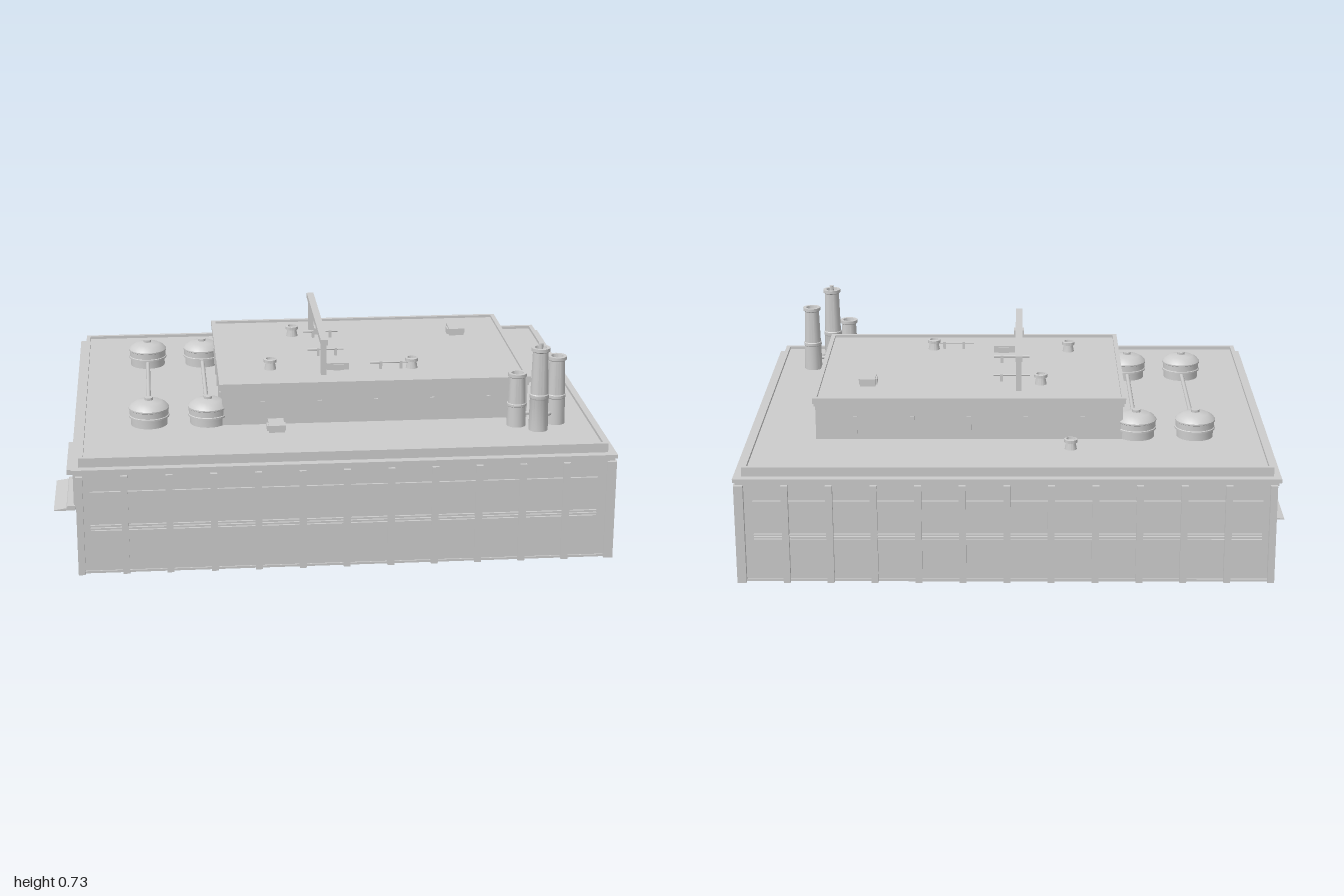
import * as THREE from 'three';
import { toCreasedNormals } from 'three/addons/utils/BufferGeometryUtils.js';

export function createModel() {
  const root = new THREE.Group();
  root.name = 'factory';
  const concrete = new THREE.MeshStandardMaterial({ color: 0xcccccc });
  concrete.name = 'concrete';

  const group = (name, parent = root) => {
    const g = new THREE.Group();
    g.name = name;
    parent.add(g);
    return g;
  };
  const add = (name, geo, parent = root) => {
    const m = new THREE.Mesh(geo, concrete);
    m.name = name;
    parent.add(m);
    return m;
  };
  // Box from minimum and maximum corners
  const box = (name, x0, x1, y0, y1, z0, z1, parent) => {
    const m = add(name, new THREE.BoxGeometry(x1 - x0, y1 - y0, z1 - z0), parent);
    m.position.set((x0 + x1) / 2, (y0 + y1) / 2, (z0 + z1) / 2);
    return m;
  };
  // Turned part from a radius/height profile
  const lathe = (name, x, y, z, profile, sides, parent) => {
    const pts = profile.map(([r, h]) => new THREE.Vector2(r, h));
    const m = add(name, toCreasedNormals(new THREE.LatheGeometry(pts, sides), 0.6), parent);
    m.position.set(x, y, z);
    return m;
  };
  const pipe = (name, a, b, r, parent) => {
    const path = new THREE.LineCurve3(new THREE.Vector3(...a), new THREE.Vector3(...b));
    return add(name, new THREE.TubeGeometry(path, 1, r, 8), parent);
  };
  // Rectangular ring standing on a roof edge
  const rim = (name, x0, x1, y0, y1, z0, z1, t, parent) => {
    const s = new THREE.Shape([[x0, -z1], [x1, -z1], [x1, -z0], [x0, -z0]].map(p => new THREE.Vector2(...p)));
    s.holes.push(new THREE.Path([[x0 + t, -z1 + t], [x0 + t, -z0 - t], [x1 - t, -z0 - t], [x1 - t, -z1 + t]].map(p => new THREE.Vector2(...p))));
    const m = add(name, new THREE.ExtrudeGeometry(s, { depth: y1 - y0, bevelEnabled: false }), parent);
    m.rotation.x = -Math.PI / 2;
    m.position.y = y0;
  };

  // Main hall
  const hall = group('mainHall');
  box('hallWalls', -0.89, 0.98, 0, 0.37, -0.745, 0.745, hall);
  box('wallTrim', -0.897, 0.988, 0.36, 0.372, -0.752, 0.752, hall);
  box('cornice', -0.905, 0.996, 0.372, 0.386, -0.76, 0.76, hall);
  box('hallRoof', -0.879, 0.966, 0.386, 0.408, -0.729, 0.729, hall);
  rim('hallParapet', -0.88, 0.967, 0.386, 0.419, -0.73, 0.73, 0.016, hall);

  // Pilasters, slats and louvres on the two long walls
  for (const s of [-1, 1]) {
    const wall = group(s > 0 ? 'frontWall' : 'backWall', hall);
    const slab = (name, x0, x1, y0, y1, depth) =>
      box(name, x0, x1, y0, y1, Math.min(s * 0.74, s * depth), Math.max(s * 0.74, s * depth), wall);
    for (let k = -1; k <= 11; k++) {
      const x = -0.725 + 0.1543 * k;
      slab('pilaster', x - 0.012, x + 0.012, 0, 0.362, 0.765);
      if (k === 11) continue;
      const x0 = x + (k < 0 ? 0.035 : 0.012), x1 = x + (k === 10 ? 0.112 : 0.1423);
      slab('upperSlat', x0, x1, 0.293, 0.302, 0.753);
      for (let i = 0; i < 3; i++) slab('louvre', x0, x1, 0.153 + i * 0.01, 0.159 + i * 0.01, 0.753);
    }
    slab('plinth', -0.89, 0.98, 0, 0.008, 0.75);
    slab('cornerPilaster', 0.966, 0.992, 0, 0.362, 0.765);
  }

  // Pilasters and narrow windows on the short walls
  for (let k = -3; k <= 3; k++) {
    const z = Math.abs(k) === 3 ? Math.sign(k) * 0.742 : k * 0.2435;
    box('sidePilaster', 0.97, 0.994, 0, 0.362, z - 0.013, z + 0.013, hall);
  }
  box('sidePlinth', 0.97, 0.986, 0, 0.025, -0.745, 0.745, hall);
  for (const z of [-0.57, -0.41, -0.082, 0.082, 0.41, 0.57]) {
    for (const y of [0.08, 0.205]) {
      box('leftWindow', 0.975, 0.988, y, y + 0.067, z - 0.009, z + 0.009, hall);
      if (Math.abs(z) > 0.1 || y > 0.1)
        box('rightWindow', -0.898, -0.885, y, y + 0.067, z - 0.009, z + 0.009, hall);
    }
  }

  // Entrance with canopy and ramp
  const entrance = group('entrance');
  box('porch', -0.925, -0.885, 0, 0.142, -0.145, 0.14, entrance);
  box('canopy', -0.947, -0.885, 0.142, 0.162, -0.157, 0.152, entrance);
  const rampShape = new THREE.Shape([[-1, 0], [-0.92, 0], [-0.92, 0.018], [-0.95, 0.018], [-0.953, 0.01], [-1, 0.003]].map(p => new THREE.Vector2(...p)));
  const ramp = add('ramp', new THREE.ExtrudeGeometry(rampShape, { depth: 0.315, bevelEnabled: false }), entrance);
  ramp.position.z = -0.162;

  // Upper storey
  const upper = group('upperStorey');
  box('upperWalls', -0.37, 0.738, 0.4, 0.54, -0.4, 0.395, upper);
  box('upperTrim', -0.375, 0.743, 0.532, 0.544, -0.405, 0.4, upper);
  box('upperRoof', -0.379, 0.747, 0.544, 0.556, -0.409, 0.404, upper);
  rim('upperParapet', -0.38, 0.748, 0.544, 0.565, -0.41, 0.405, 0.016, upper);
  for (let k = 0; k < 5; k++) {
    const x = -0.225 + k * 0.205, z = -0.272 + k * 0.136;
    for (const wz of [-0.4, 0.395]) box('upperWindow', x - 0.008, x + 0.008, 0.43, 0.495, wz - 0.006, wz + 0.006, upper);
    for (const wx of [-0.37, 0.738]) box('upperWindow', wx - 0.006, wx + 0.006, 0.43, 0.495, z - 0.008, z + 0.008, upper);
  }

  // Domed tanks joined in pairs by pipes
  const tanks = group('tanks');
  for (const x of [-0.633, -0.42]) {
    for (const z of [-0.36, 0.352]) {
      lathe('tank', x, 0.4, z, [[0, 0], [0.066, 0], [0.066, 0.036], [0.073, 0.038], [0.073, 0.044], [0.07, 0.046],
        [0.07, 0.066], [0.073, 0.068], [0.073, 0.073], [0.064, 0.084], [0.046, 0.094], [0.015, 0.099], [0.015, 0.108], [0, 0.109]], 24, tanks);
    }
    pipe('tankPipe', [x, 0.43, -0.3], [x, 0.43, 0.3], 0.008, tanks);
  }

  // Roof vents
  const roof = group('roofEquipment');
  for (const [x, y, z] of [[-0.18, 0.407, -0.505], [-0.075, 0.556, -0.21], [-0.185, 0.556, 0.205], [0.335, 0.556, 0.23]]) {
    lathe('vent', x, y, z, [[0.022, 0], [0.017, 0.026], [0.024, 0.027], [0.024, 0.038], [0.016, 0.04], [0.015, 0.032], [0, 0.032]], 16, roof);
  }

  // Air handling units
  for (const [x, y, z, turn] of [[0.56, 0.556, -0.2, 0], [0.062, 0.556, 0.21, 1], [-0.18, 0.408, 0.45, 0]]) {
    const unit = group('airUnit', roof);
    unit.position.set(x, y, z);
    unit.rotation.y = turn * Math.PI / 2;
    box('unitCase', -0.028, 0.028, 0, 0.026, -0.041, 0.041, unit);
    box('unitMiddle', -0.034, 0.034, 0, 0.02, -0.017, 0.022, unit);
  }

  // Thin pipes lying on the upper roof
  for (const [x0, x1, z] of [[-0.035, 0.1, -0.178], [-0.035, 0.1, 0.055], [0.18, 0.325, 0.235]]) {
    pipe('roofPipe', [x0, 0.58, z], [x1, 0.58, z], 0.004, roof);
    for (const x of [x0 + 0.04, x1 - 0.03]) box('pipeFoot', x - 0.005, x + 0.005, 0.555, 0.584, z - 0.006, z + 0.006, roof);
  }

  // Gantry with hanging trolley
  const gantry = group('gantry');
  box('beam', -0.008, 0.018, 0.674, 0.695, -0.32, 0.315, gantry);
  for (const z of [-0.285, 0.285]) box('post', -0.005, 0.015, 0.55, 0.676, z - 0.01, z + 0.01, gantry);
  box('trolley', -0.014, 0.024, 0.655, 0.678, 0.07, 0.112, gantry);

  // Chimney cluster
  const chimneys = group('chimneys');
  for (const [x, z, top] of [[0.685, 0.475, 0.605], [0.83, 0.46, 0.66], [0.755, 0.53, 0.715]]) {
    const h = top - 0.4;
    lathe('chimney', x, 0.4, z, [[0.035, 0], [0.033, h * 0.4], [0.035, h * 0.41], [0.035, h * 0.45], [0.032, h * 0.46],
      [0.028, h - 0.016], [0.034, h - 0.012], [0.034, h], [0.022, h], [0.02, h - 0.015], [0, h - 0.015]], 20, chimneys);
  }
  lathe('chimneyTip', 0.755, 0.69, 0.53, [[0.008, 0], [0.008, 0.04], [0, 0.042]], 10, chimneys);
  pipe('chimneyLink', [0.685, 0.45, 0.475], [0.83, 0.45, 0.46], 0.007, chimneys);
  pipe('chimneyLink', [0.83, 0.45, 0.46], [0.755, 0.45, 0.53], 0.007, chimneys);

  return root;
}
